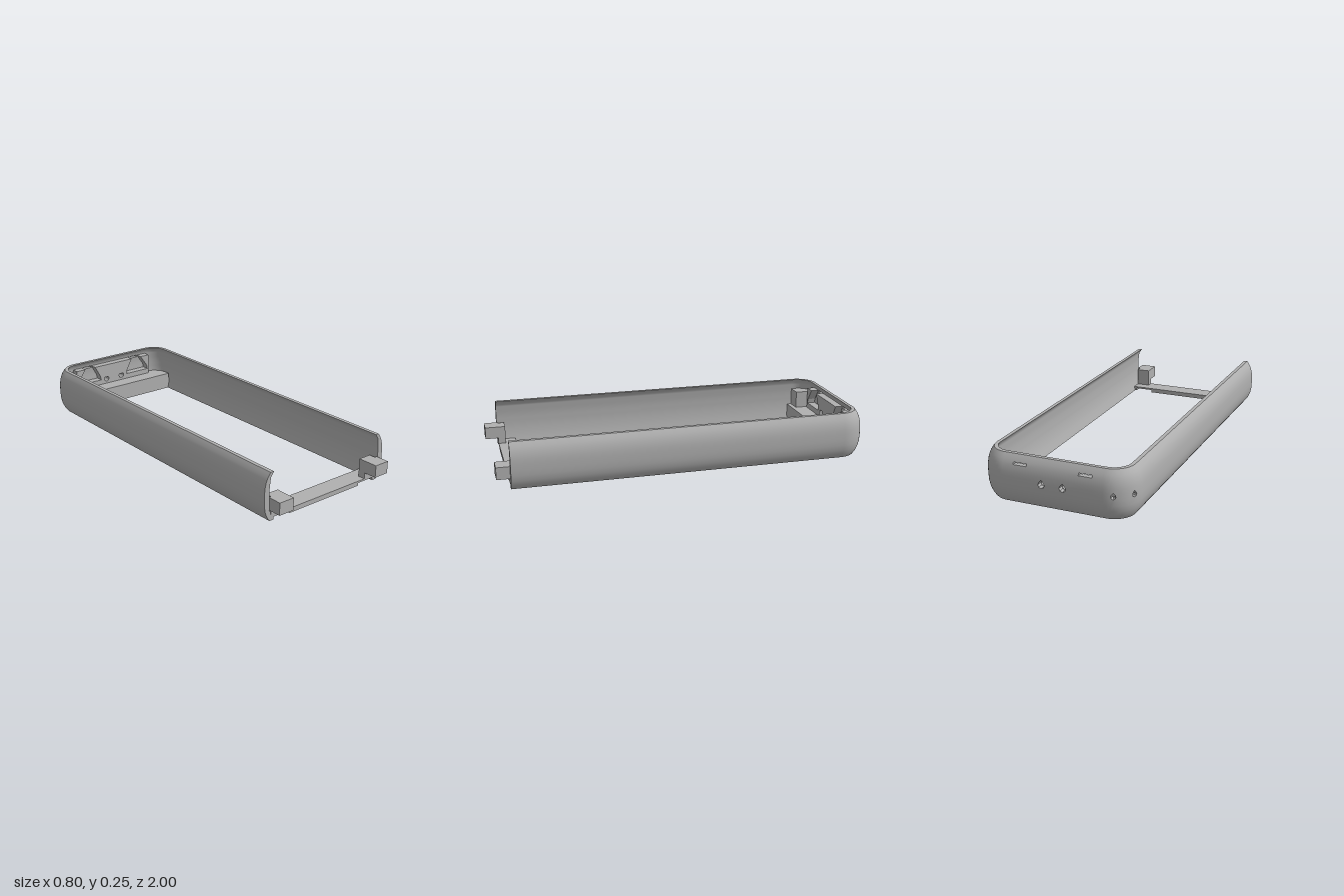
import * as THREE from 'three';
import { toCreasedNormals } from 'three/addons/utils/BufferGeometryUtils.js';

const grey = new THREE.MeshStandardMaterial({ color: 0xb0b0b0 });
grey.name = 'grey';

// U-shaped outline of the bumper, measured by length s from the +x front end
const HALF = 0.4, R = 0.14, FRONT = 0.93;
const CX = HALF - R, CZ = -1 + R;
const SIDE = FRONT - CZ, ARC = R * Math.PI / 2, BACK = 2 * CX;
const S1 = SIDE, S2 = S1 + ARC, S3 = S2 + BACK, S4 = S3 + ARC, S5 = S4 + SIDE;

function outline(s, depth) {
  let cx, cz, a;
  if (s <= S1) [cx, cz, a] = [CX, FRONT - s, 0];
  else if (s <= S2) [cx, cz, a] = [CX, CZ, (s - S1) / R];
  else if (s <= S3) [cx, cz, a] = [CX - (s - S2), CZ, Math.PI / 2];
  else if (s <= S4) [cx, cz, a] = [-CX, CZ, Math.PI / 2 + (s - S3) / R];
  else [cx, cz, a] = [-CX, CZ + (s - S4), Math.PI];
  return [cx + Math.cos(a) * (R - depth), cz - Math.sin(a) * (R - depth)];
}

// wall section: inset of the outer and inner skins at height y
const outerInset = y => 0.035 * Math.abs((y - 0.125) / 0.125) ** 3;
const innerPts = [[0, 0.05], [0.05, 0.038], [0.1, 0.031], [0.17, 0.031], [0.225, 0.038], [0.25, 0.055]];
function innerInset(y) {
  const k = Math.max(1, innerPts.findIndex(p => p[0] >= y - 1e-6));
  const [y0, d0] = innerPts[k - 1], [y1, d1] = innerPts[k];
  return d0 + (d1 - d0) * (y - y0) / (y1 - y0);
}

// openings in the wall: drops and top slots
const HY = 0.126, HA = 0.017;
const atX = x => S2 + CX - x;
const drops = [
  { s: atX(0.055), a: HA }, { s: atX(-0.055), a: HA },
  { s: S3 + 0.05, a: 0.013 }, { s: S3 + 0.156, a: 0.013 },
];
const slots = [[atX(0.205), atX(0.135)], [atX(-0.135), atX(-0.205)]];

function makeShell() {
  const rows = [0, 0.01, 0.025, 0.05, 0.08, HY - HA, HY, HY + HA, 0.165, 0.185, 0.203, 0.215, 0.225, 0.24, 0.25];
  let stations = [0, S1, S2, S3, S4, S5];
  for (let i = 1; i < 14; i++) stations.push(S1 + ARC * i / 14, S3 + ARC * i / 14);
  stations = stations.filter(s => !drops.some(h => Math.abs(s - h.s) < h.a + 0.003));
  drops.forEach(h => stations.push(h.s - h.a, h.s, h.s + h.a));
  slots.forEach(r => stations.push(...r));
  stations.sort((a, b) => a - b);

  const solid = (i, j) => {
    if (i < 0 || j < 0 || i >= stations.length - 1 || j >= rows.length - 1) return false;
    const s = (stations[i] + stations[i + 1]) / 2, y = (rows[j] + rows[j + 1]) / 2;
    if (drops.some(h => Math.abs(s - h.s) < h.a && Math.abs(y - HY) < HA)) return false;
    return !(y > 0.203 && y < 0.215 && slots.some(r => s > r[0] && s < r[1]));
  };

  // grid corners around a drop are pulled in to give its rounded shape
  const point = (i, j, inner) => {
    let s = stations[i], y = rows[j];
    const h = drops.find(q => Math.abs(s - q.s) < q.a + 1e-6);
    if (h && Math.abs(y - HY) < HA + 1e-6) {
      const u = Math.round((s - h.s) / h.a), v = Math.round((y - HY) / HA);
      const k = u && v ? 0.72 : 1;
      s = h.s + u * h.a * k;
      y = HY + v * h.a * (v > 0 ? (u ? 0.65 : 1.5) : k);
    }
    const [x, z] = outline(s, inner ? innerInset(y) : outerInset(y));
    return [x, y, z];
  };

  const pos = [];
  const quad = (a, b, c, d) => pos.push(...a, ...b, ...c, ...a, ...c, ...d);
  for (let i = 0; i < stations.length - 1; i++) {
    for (let j = 0; j < rows.length - 1; j++) {
      if (!solid(i, j)) continue;
      const c = [[i, j], [i + 1, j], [i + 1, j + 1], [i, j + 1]];
      const o = c.map(p => point(...p, false)), n = c.map(p => point(...p, true));
      quad(...o);
      quad(n[3], n[2], n[1], n[0]);
      // close the thickness wherever the neighbouring cell is open
      [[0, -1], [1, 0], [0, 1], [-1, 0]].forEach(([di, dj], k) => {
        const m = (k + 1) % 4;
        if (!solid(i + di, j + dj)) quad(o[k], n[k], n[m], o[m]);
      });
    }
  }
  const g = new THREE.BufferGeometry();
  g.setAttribute('position', new THREE.Float32BufferAttribute(pos, 3));
  return toCreasedNormals(g, 0.5);
}

const polygon = pts => new THREE.Shape(pts.map(p => new THREE.Vector2(...p)));
const extrude = (shape, depth) => new THREE.ExtrudeGeometry(shape, { depth, bevelEnabled: false, curveSegments: 10 });

function boxBetween(x0, x1, y0, y1, z0, z1) {
  return new THREE.BoxGeometry(x1 - x0, y1 - y0, z1 - z0)
    .translate((x0 + x1) / 2, (y0 + y1) / 2, (z0 + z1) / 2);
}

export function createModel() {
  const model = new THREE.Group();
  model.name = 'phoneBumper';
  const add = (name, geometry) => {
    const mesh = new THREE.Mesh(geometry, grey);
    mesh.name = name;
    model.add(mesh);
  };

  add('wall', makeShell());

  // floor of the closed end, rounded to fit the wall
  const w = 0.358, b = 0.958, r = 0.1;
  const floor = new THREE.Shape();
  floor.moveTo(-w, 0.83);
  floor.lineTo(w, 0.83);
  floor.lineTo(w, b - r);
  floor.absarc(w - r, b - r, r, 0, Math.PI / 2);
  floor.absarc(r - w, b - r, r, Math.PI / 2, Math.PI);
  add('endFloor', extrude(floor, 0.095).rotateX(-Math.PI / 2));

  // inner panel with two tapered recesses and two drop holes
  const half = [[0.265, 0.095], [0.265, 0.215], [0.205, 0.215], [0.25, 0.15], [0.255, 0.125],
    [0.095, 0.125], [0.1, 0.15], [0.135, 0.215]];
  const panel = polygon([...half, ...half.map(([x, y]) => [-x, y]).reverse()]);
  for (const x of [-0.055, 0.055]) {
    const hole = new THREE.Path();
    hole.moveTo(x, HY + 1.5 * HA);
    hole.absarc(x, HY, HA, Math.PI * 0.8, Math.PI * 2.2);
    hole.closePath();
    panel.holes.push(hole);
  }
  add('innerPanel', extrude(panel, 0.045).translate(0, 0, -0.965));

  // block in the corner behind the side openings
  add('cornerBlock', boxBetween(-0.36, -0.278, 0.09, 0.19, -0.945, -0.855));

  // bar across the open end, notched underneath
  const bar = [[0.235, 0], [0.235, 0.015], [0.34, 0.015], [0.34, 0], [0.355, 0], [0.355, 0.025]];
  const barShape = polygon([...bar, ...bar.map(([x, y]) => [-x, y]).reverse()]);
  add('crossBar', extrude(barShape, 0.1).translate(0, 0, 0.83));

  // latch blocks at both ends of the bar
  for (const [side, name] of [[1, 'left'], [-1, 'right']]) {
    const span = (a, c) => side > 0 ? [a, c] : [-c, -a];
    add(name + 'LatchBase', boxBetween(...span(0.28, 0.355), 0.02, 0.122, 0.89, 0.93));
    add(name + 'Latch', boxBetween(...span(0.28, 0.368), 0.057, 0.122, 0.925, 1));
  }
  return model;
}
